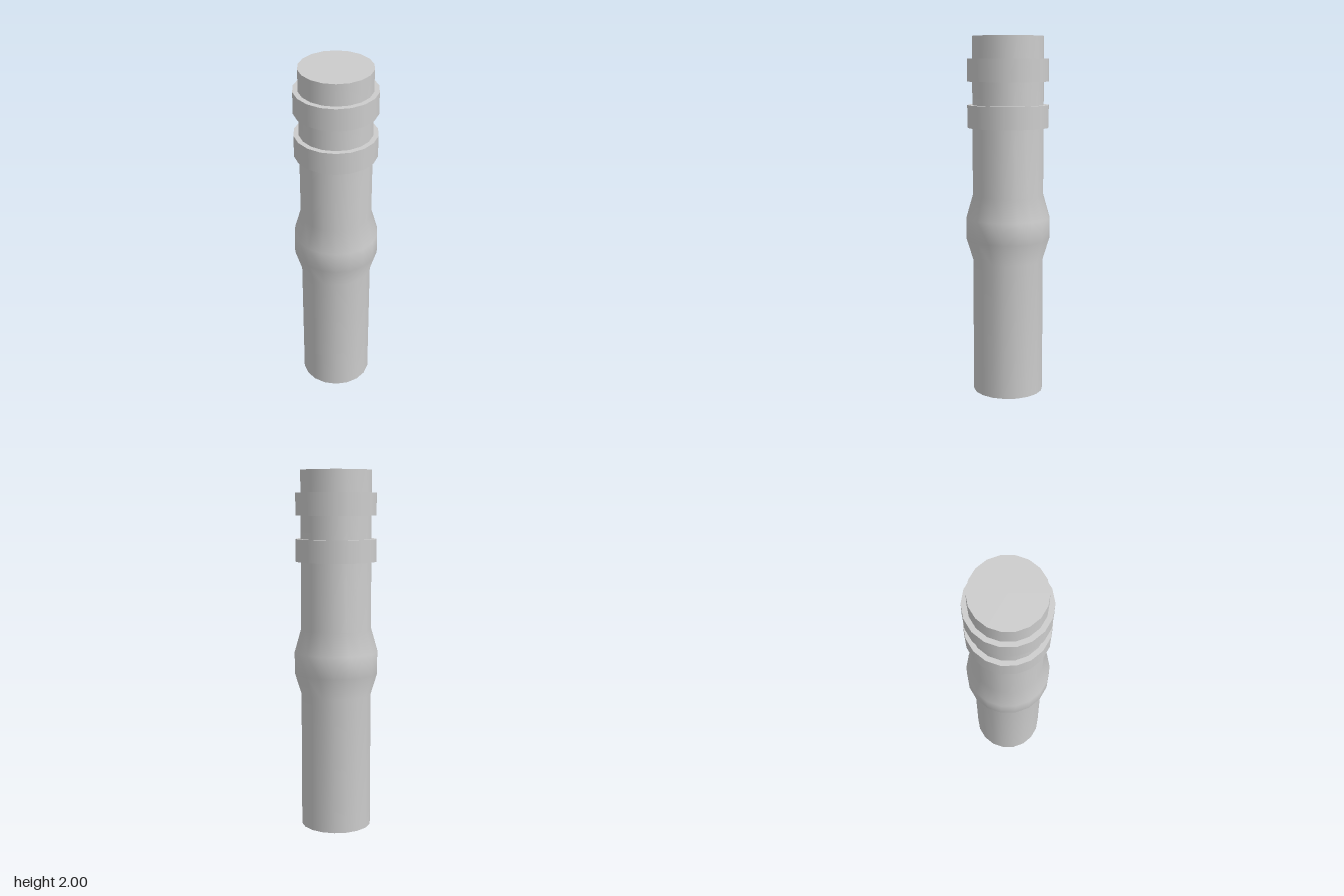
import * as THREE from 'three';

const SIDES = 18;
const RADIUS = 0.197;

export function createModel() {
  const group = new THREE.Group();
  const grey = new THREE.MeshStandardMaterial({ color: 0xcccccc });
  grey.name = 'grey';

  const add = (name, geometry, y = 0) => {
    const mesh = new THREE.Mesh(geometry, grey);
    mesh.name = name;
    mesh.position.y = y;
    group.add(mesh);
    return mesh;
  };

  // Shaft with a smooth bulge near the middle
  const profile = [
    [RADIUS, 0], [RADIUS, 0.76], [0.234, 0.88],
    [0.234, 1.0], [RADIUS, 1.13], [RADIUS, 2],
  ].map(([r, y]) => new THREE.Vector2(r, y));
  add('shaft', new THREE.LatheGeometry(profile, SIDES, Math.PI / 2));

  // Flat ends
  const disc = new THREE.CircleGeometry(RADIUS, SIDES);
  add('topCap', disc, 2).rotation.x = -Math.PI / 2;
  add('bottomCap', disc, 0).rotation.x = Math.PI / 2;

  // Two raised collars
  const collar = new THREE.CylinderGeometry(0.225, 0.225, 0.124, SIDES, 1, false, Math.PI / 2);
  add('lowerCollar', collar, 1.565);
  add('upperCollar', collar, 1.817);

  return group;
}
